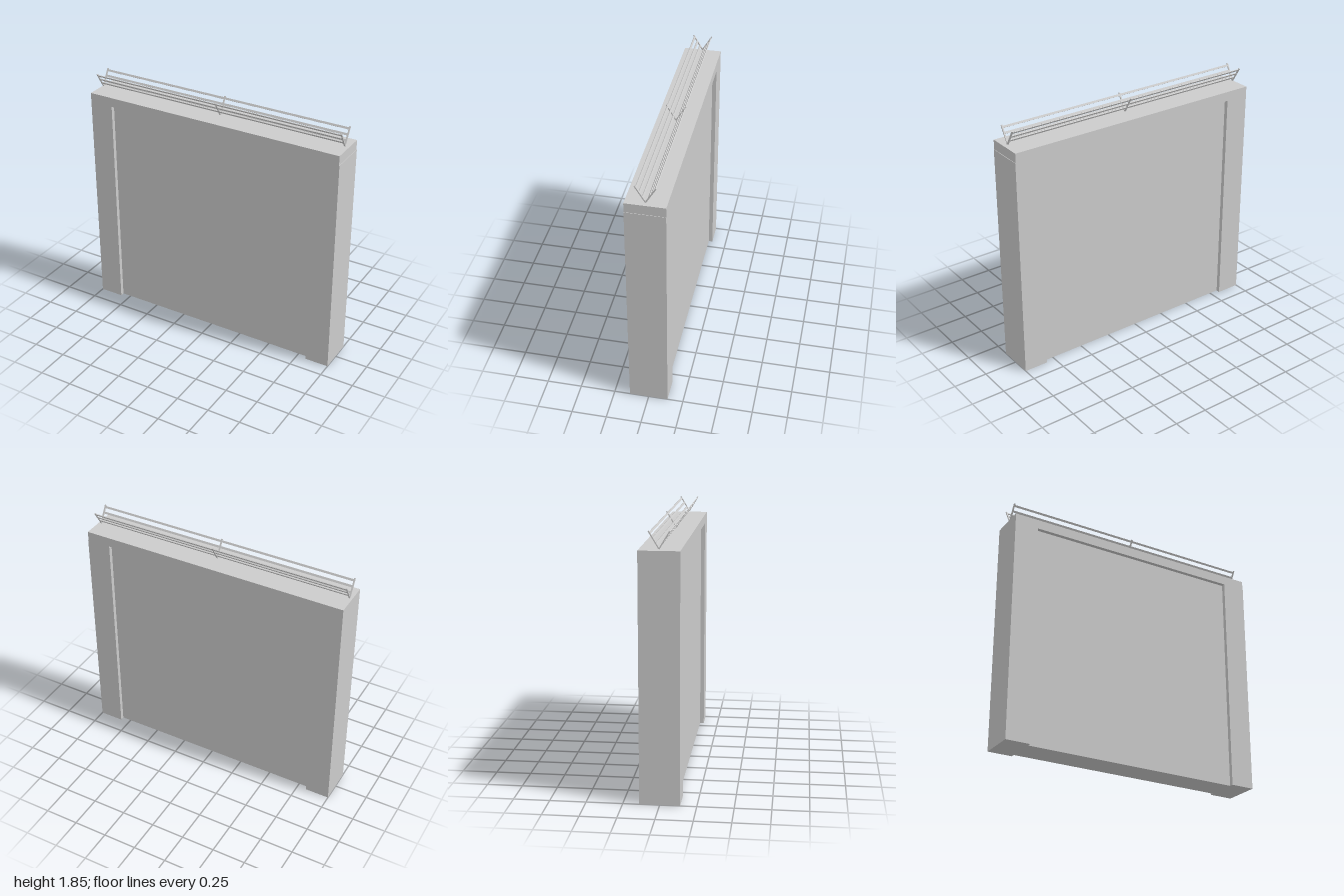
import * as THREE from 'three';

const material = new THREE.MeshStandardMaterial({ color: 0xcccccc, flatShading: true });

function box(parent, name, [w, h, d], [x, y, z]) {
  const mesh = new THREE.Mesh(new THREE.BoxGeometry(w, h, d), material);
  mesh.name = name;
  mesh.position.set(x, y, z);
  parent.add(mesh);
  return mesh;
}

export function createModel() {
  const model = new THREE.Group();
  model.name = 'wall';
  const depth = 0.276, height = 1.72, opening = 1.65, inner = 0.82;

  // Two pillars, a lintel across them and a panel set back on both faces
  for (const side of [-1, 1]) {
    box(model, side > 0 ? 'leftPillar' : 'rightPillar',
      [1 - inner, opening, depth], [side * (1 + inner) / 2, opening / 2, 0]);
  }
  box(model, 'lintel', [1.997, height - opening, depth], [-0.0015, (height + opening) / 2, 0]);
  box(model, 'panel', [inner * 2, opening, depth - 0.06], [0, opening / 2, 0]);

  // V-shaped fence on top: two mirrored leaning frames
  const fence = new THREE.Group();
  fence.name = 'topFence';
  fence.position.y = 1.73;
  model.add(fence);

  const lean = Math.atan2(0.068, 0.113);
  const armLength = 0.134;
  const armX = [-0.983, 0.013, 0.97];
  const railLength = armX[2] - armX[0];

  for (const side of [-1, 1]) {
    const frame = new THREE.Group();
    frame.name = side > 0 ? 'frontFrame' : 'backFrame';
    frame.rotation.x = side * lean;
    fence.add(frame);
    for (const x of armX) {
      box(frame, 'arm', [0.01, armLength, 0.008], [x, armLength / 2, 0]);
    }
    for (const t of [0.036, 0.077, 0.118]) {
      box(frame, 'rail', [railLength, 0.015, 0.006], [(armX[0] + armX[2]) / 2, t, 0]);
    }
  }
  return model;
}
